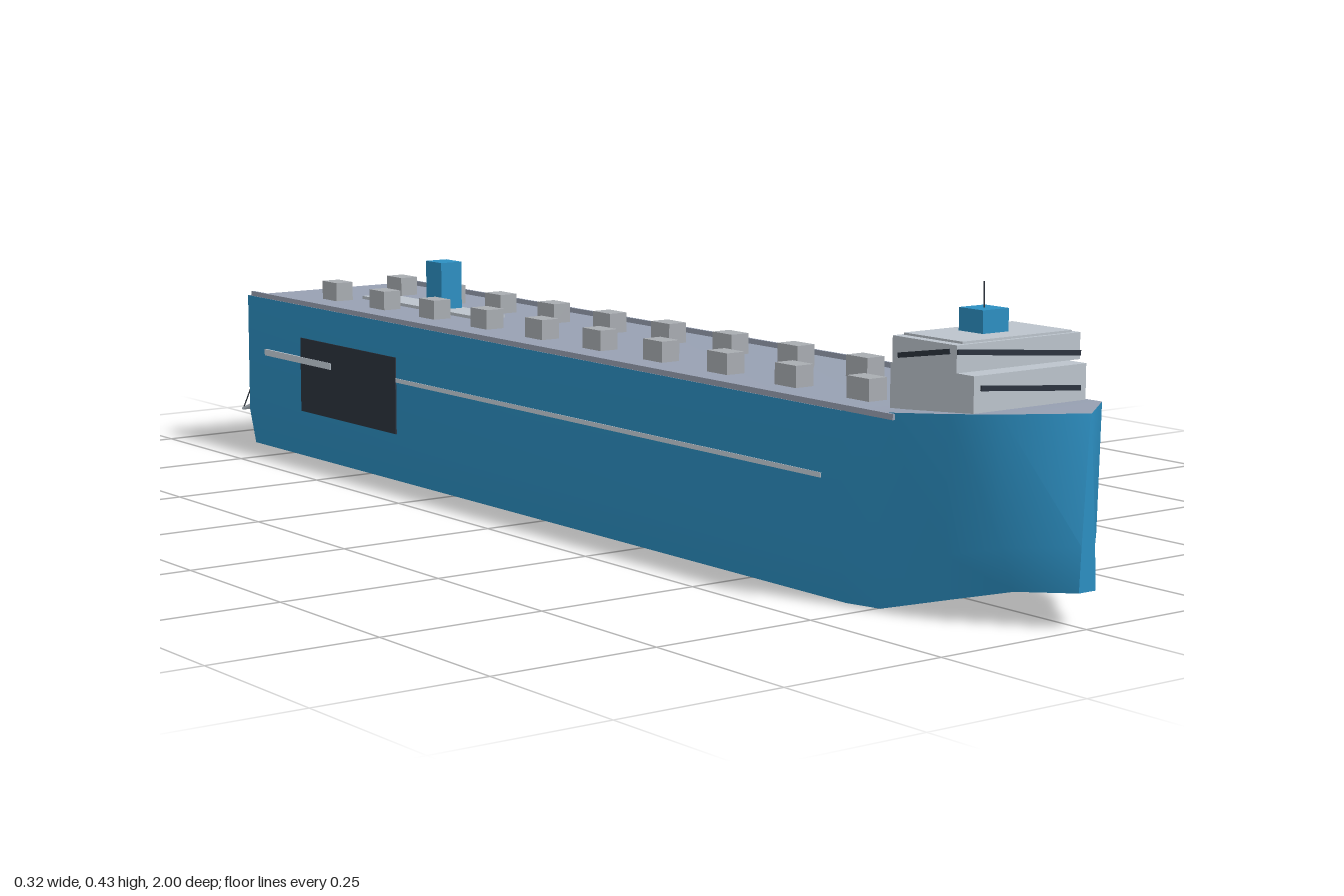
import * as THREE from 'three';
import { toCreasedNormals } from 'three/addons/utils/BufferGeometryUtils.js';

const mat = (name, color, double) => {
  const m = new THREE.MeshStandardMaterial({ color });
  m.name = name;
  if (double) m.side = THREE.DoubleSide;
  return m;
};

export function createModel() {
  const ship = new THREE.Group();
  ship.name = 'carCarrierShip';
  const blue = mat('hullBlue', 0x2c8fc2);
  const deckGrey = mat('deckGrey', 0x98a1b3);
  const white = mat('cabinGrey', 0xbcc4cc);
  const pale = mat('paleGrey', 0xc8d2dc);
  const dark = mat('darkGlass', 0x2b333e);
  const ventGrey = mat('ventGrey', 0xa9adb2);

  const add = (name, geometry, material, x = 0, y = 0, z = 0) => {
    const mesh = new THREE.Mesh(geometry, material);
    mesh.name = name;
    mesh.position.set(x, y, z);
    ship.add(mesh);
    return mesh;
  };
  // Box given by its limits on each axis
  const box = (name, material, x0, x1, y0, y1, z0, z1) =>
    add(name, new THREE.BoxGeometry(x1 - x0, y1 - y0, z1 - z0), material,
      (x0 + x1) / 2, (y0 + y1) / 2, (z0 + z1) / 2);

  // Hull stations: z, half width at keel, chine and deck, keel height, deck height
  const stations = [
    [-0.88, 0.147, 0.158, 0.158, 0, 0.26],
    [0.70, 0.147, 0.158, 0.158, 0, 0.26],
    [0.76, 0.139, 0.144, 0.144, 0.002, 0.264],
    [0.86, 0.108, 0.116, 0.116, 0.028, 0.272],
    [0.93, 0.062, 0.085, 0.09, 0.045, 0.278],
    [1.0, 0.015, 0.012, 0.001, 0.049, 0.28],
  ];
  const points = stations.flatMap(([z, k, c, d, y0, y1]) => [
    [-k, y0, z], [k, y0, z], [c, y0 + 0.06, z], [d, y1, z], [-d, y1, z], [-c, y0 + 0.06, z],
  ]);
  const shell = [], deck = [];
  for (let i = 0; i < stations.length - 1; i++) {
    for (let j = 0; j < 6; j++) {
      const a = i * 6 + j, b = i * 6 + (j + 1) % 6;
      (j === 3 ? deck : shell).push(a, b, b + 6, a, b + 6, a + 6);
    }
  }
  // Stern and stem caps
  const bow = (stations.length - 1) * 6;
  for (let j = 1; j < 5; j++) shell.push(0, j + 1, j, bow, bow + j, bow + j + 1);
  const surface = (index) => {
    const g = new THREE.BufferGeometry();
    g.setAttribute('position', new THREE.Float32BufferAttribute(points.flat(), 3));
    g.setIndex(index);
    return toCreasedNormals(g, 0.7);
  };
  add('hull', surface(shell), blue);
  add('deck', surface(deck), deckGrey);

  for (const s of [-1, 1]) {
    // Edge rails, side doors and side stripes
    add('deckRail', new THREE.BoxGeometry(0.004, 0.008, 1.67), deckGrey, s * 0.155, 0.264, -0.035);
    add('sideDoor', new THREE.BoxGeometry(0.004, 0.125, 0.3), dark, s * 0.158, 0.1425, -0.55);
    add('sideStripe', new THREE.BoxGeometry(0.003, 0.007, 1.06), pale, s * 0.1575, 0.168, 0.13);
    add('sideStripeAft', new THREE.BoxGeometry(0.006, 0.011, 0.22), pale, s * 0.158, 0.167, -0.71);

    // Two rows of deck vents
    for (let i = 0; i < 10; i++) {
      add('deckVent', new THREE.BoxGeometry(0.032, 0.034, 0.046), ventGrey,
        s * 0.065, 0.274, 0.643 - i * 0.153);
    }

    // Slanted bridge side window
    const win = add('bridgeSideWindow', new THREE.BoxGeometry(0.004, 0.007, 0.1), dark,
      s * 0.1095, 0.344, 0.806);
    win.rotation.x = -0.16;

    // Ramp cable
    const cable = new THREE.LineCurve3(
      new THREE.Vector3(s * 0.105, 0.21, -0.88), new THREE.Vector3(s * 0.105, 0.042, -0.998));
    add('rampCable', new THREE.TubeGeometry(cable, 1, 0.0012, 5), dark);
  }

  // Bridge tiers and roof
  box('lowerCabin', white, -0.1, 0.1, 0.255, 0.323, 0.73, 0.89);
  box('upperBridge', white, -0.11, 0.11, 0.325, 0.361, 0.745, 0.868);
  box('bridgeRoof', white, -0.095, 0.1, 0.36, 0.364, 0.75, 0.862);
  const upper = add('bridgeFrontWindow', new THREE.BoxGeometry(0.22, 0.007, 0.005), dark, 0, 0.343, 0.868);
  const lower = add('cabinFrontWindow', new THREE.BoxGeometry(0.178, 0.007, 0.005), dark, 0, 0.299, 0.89);
  upper.rotation.z = lower.rotation.z = -0.085;
  box('bridgeHousing', blue, -0.023, 0.023, 0.362, 0.395, 0.777, 0.823);
  add('mast', new THREE.CylinderGeometry(0.001, 0.001, 0.036, 6), dark, 0, 0.412, 0.8);

  // Funnel and its deck plate
  box('funnelPlate', white, -0.027, 0.027, 0.258, 0.265, -0.715, -0.36);
  box('funnel', blue, -0.02, 0.02, 0.26, 0.342, -0.523, -0.477);

  // Stern opening and lowered ramp
  box('sternOpening', dark, -0.125, 0.125, 0.068, 0.225, -0.883, -0.878);
  const ramp = add('sternRamp', new THREE.BoxGeometry(0.216, 0.004, 0.127), pale, 0, 0.063, -0.939);
  ramp.rotation.x = -0.36;

  return ship;
}
